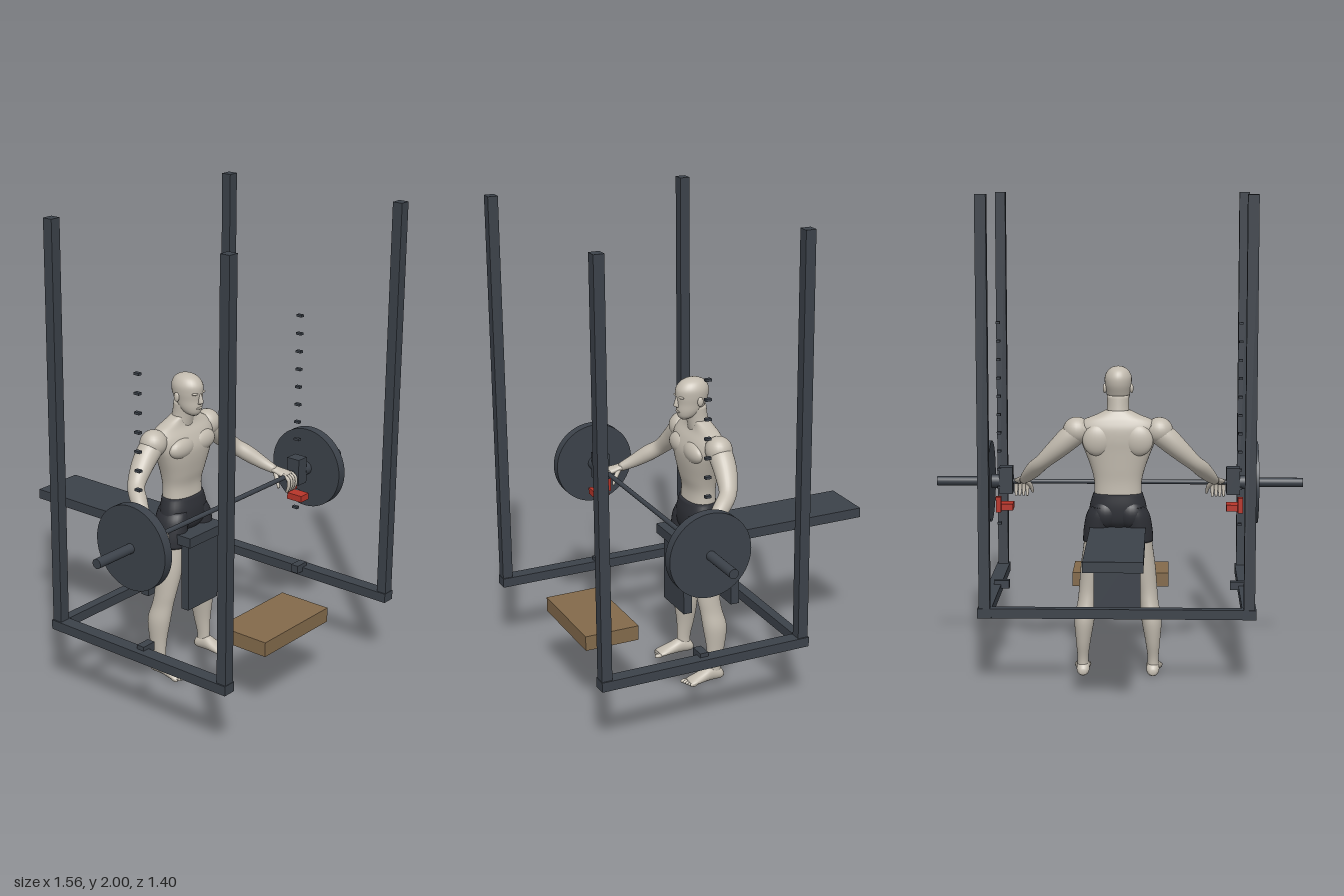
import * as THREE from 'three';

const mat = (name, color) => Object.assign(new THREE.MeshStandardMaterial({ color }), { name });

export function createModel() {
  const steel = mat('dark steel', 0x3c424a);
  const skin = mat('pale skin', 0xc2bbaf);
  const cloth = mat('shorts cloth', 0x2e3036);
  const wood = mat('wood', 0x836a4b);
  const red = mat('red catch', 0xb8352a);

  const root = new THREE.Group();
  root.name = 'liftingRack';
  const group = (name) => {
    const g = new THREE.Group();
    g.name = name;
    root.add(g);
    return g;
  };
  const add = (parent, name, geo, material, x = 0, y = 0, z = 0) => {
    const m = new THREE.Mesh(geo, material);
    m.name = name;
    m.position.set(x, y, z);
    parent.add(m);
    return m;
  };
  // Box given by its limits on each axis
  const box = (parent, name, material, [x0, x1], [y0, y1], [z0, z1]) =>
    add(parent, name, new THREE.BoxGeometry(Math.abs(x1 - x0), y1 - y0, z1 - z0), material,
      (x0 + x1) / 2, (y0 + y1) / 2, (z0 + z1) / 2);
  // Cylinder lying along x
  const rod = (parent, name, r, x0, x1, y, z, sides = 24) => {
    const geo = new THREE.CylinderGeometry(r, r, Math.abs(x1 - x0), sides).rotateZ(Math.PI / 2);
    return add(parent, name, geo, steel, (x0 + x1) / 2, y, z);
  };
  const blob = (parent, name, material, x, y, z, rx, ry, rz) => {
    const m = add(parent, name, new THREE.SphereGeometry(1, 24, 16), material, x, y, z);
    m.scale.set(rx, ry, rz);
    return m;
  };
  // Smooth skin over oval sections [x, y, z, radiusA, radiusB]; axis fixes the ring direction
  const loft = (sections, { axis = null, sides = 28, steps = 5, power = 1 } = {}) => {
    const spline = (f) => new THREE.CatmullRomCurve3(sections.map(f), false, 'catmullrom', 0.5);
    const path = spline((s) => new THREE.Vector3(s[0], s[1], s[2]));
    const size = spline((s) => new THREE.Vector3(s[3], s[4], 0));
    const n = (sections.length - 1) * steps;
    const ref = axis && axis.z ? new THREE.Vector3(0, 1, 0) : new THREE.Vector3(0, 0, 1);
    const bend = (v) => Math.sign(v) * Math.abs(v) ** power;
    const pos = [], idx = [];
    for (let i = 0; i <= n; i++) {
      const c = path.getPoint(i / n), r = size.getPoint(i / n);
      const t = axis || path.getTangent(i / n);
      const u = new THREE.Vector3().crossVectors(t, ref).normalize();
      const w = new THREE.Vector3().crossVectors(u, t).normalize();
      for (let j = 0; j < sides; j++) {
        const q = (j / sides) * Math.PI * 2;
        const p = c.clone().addScaledVector(u, r.x * bend(Math.cos(q))).addScaledVector(w, r.y * bend(Math.sin(q)));
        pos.push(p.x, p.y, p.z);
        const a = i * sides + j, b = i * sides + ((j + 1) % sides);
        if (i < n) idx.push(a, a + sides, b, b, a + sides, b + sides);
      }
    }
    const first = pos.length / 3, last = n * sides;
    [path.getPoint(0), path.getPoint(1)].forEach((p) => pos.push(p.x, p.y, p.z));
    for (let j = 0; j < sides; j++) {
      const k = (j + 1) % sides;
      idx.push(first, j, k, first + 1, last + k, last + j);
    }
    const geo = new THREE.BufferGeometry();
    geo.setAttribute('position', new THREE.Float32BufferAttribute(pos, 3));
    geo.setIndex(idx);
    geo.computeVertexNormals();
    return geo;
  };
  const Y = new THREE.Vector3(0, 1, 0), Z = new THREE.Vector3(0, 0, 1);

  const rack = group('rack');
  const bar = group('barbell');
  const bench = group('bench');
  const body = group('standingMan');

  // Rack frame, catches and height marks
  box(rack, 'rearBeam', steel, [-0.565, 0.565], [0.29, 0.33], [-0.2, -0.16]);
  for (const s of [-1, 1]) {
    const sx = (a, b) => [a * s, b * s];
    box(rack, 'sideBeam', steel, sx(0.51, 0.567), [0.29, 0.33], [-0.203, 0.7]);
    for (const z of [-0.2, 0.655])
      box(rack, 'upright', steel, sx(0.516, 0.561), [0.3, 2], [z, z + 0.043]);
    box(rack, 'beamStop', steel, sx(0.475, 0.54), [0.312, 0.347], [0.235, 0.27]);
    for (let i = 0; i < 12; i++) {
      const y = 1.46 - i * 0.078;
      box(rack, 'heightMark', steel, sx(0.503, 0.52), [y - 0.005, y + 0.005], [0.212, 0.237]);
    }
    box(rack, 'catch', red, sx(0.455, 0.51), [0.657, 0.685], [0.22, 0.293]);
    box(rack, 'catchPin', red, sx(0.503, 0.525), [0.655, 0.72], [0.19, 0.22]);

    // Bar ends: holder, collar, plate and sleeve
    box(bar, 'barHolder', steel, sx(0.455, 0.512), [0.73, 0.845], [0.215, 0.277]);
    rod(bar, 'collar', 0.03, 0.51 * s, 0.547 * s, 0.78, 0.248);
    rod(bar, 'weightPlate', 0.174, 0.546 * s, 0.587 * s, 0.78, 0.248, 48);
    rod(bar, 'sleeve', 0.02, 0.5 * s, 0.78 * s, 0.78, 0.248);
  }
  rod(bar, 'barShaft', 0.01, -0.5, 0.5, 0.78, 0.248);

  // Bench and wooden step
  box(bench, 'benchPad', steel, [-0.115, 0.115], [0.595, 0.637], [-0.704, 0.153]);
  for (const z of [-0.13, 0.09])
    box(bench, 'benchLeg', steel, [-0.096, 0.096], [0.3, 0.6], [z, z + 0.038]);
  box(root, 'woodenStep', wood, [-0.21, 0.21], [0.29, 0.352], [0.386, 0.618]);

  // Torso and neck
  add(body, 'torso', loft([
    [0, 0.75, 0.015, 0.098, 0.062], [0, 0.82, 0.013, 0.098, 0.058], [0, 0.88, 0.017, 0.112, 0.066],
    [0, 0.95, 0.02, 0.138, 0.074], [0, 1.0, 0.018, 0.158, 0.076], [0, 1.045, 0.01, 0.17, 0.066],
    [0, 1.078, 0.004, 0.145, 0.05], [0, 1.1, 0.006, 0.092, 0.042], [0, 1.12, 0.012, 0.05, 0.038],
  ], { axis: Y, power: 0.85, sides: 36 }), skin);
  add(body, 'neck', loft([
    [0, 1.07, 0.008, 0.058, 0.045], [0, 1.12, 0.018, 0.046, 0.044], [0, 1.18, 0.028, 0.045, 0.046],
  ], { axis: Y }), skin);

  // Head and face
  add(body, 'head', loft([
    [0, 1.128, 0.078, 0.016, 0.014], [0, 1.142, 0.066, 0.034, 0.038], [0, 1.165, 0.054, 0.045, 0.055],
    [0, 1.195, 0.046, 0.05, 0.063], [0, 1.225, 0.042, 0.055, 0.07], [0, 1.255, 0.041, 0.055, 0.07],
    [0, 1.28, 0.039, 0.043, 0.055], [0, 1.294, 0.038, 0.024, 0.031], [0, 1.299, 0.038, 0.003, 0.004],
  ], { axis: Y }), skin);
  add(body, 'nose', loft([
    [0, 1.182, 0.108, 0.012, 0.009], [0, 1.19, 0.111, 0.011, 0.013], [0, 1.225, 0.107, 0.006, 0.006],
  ], { axis: Y, sides: 12 }), skin);
  blob(body, 'lips', skin, 0, 1.163, 0.103, 0.018, 0.006, 0.009);

  for (const s of [-1, 1]) {
    const flip = (rows) => rows.map(([x, ...rest]) => [x * s, ...rest]);
    const limb = (name, rows, opt, material = skin) => add(body, name, loft(flip(rows), opt), material);

    blob(body, 'ear', skin, 0.055 * s, 1.207, 0.03, 0.008, 0.02, 0.013);
    blob(body, 'brow', skin, 0.021 * s, 1.226, 0.101, 0.019, 0.006, 0.009);
    blob(body, 'chestMuscle', skin, 0.066 * s, 1.0, 0.066, 0.072, 0.044, 0.034);
    blob(body, 'shoulderBlade', skin, 0.085 * s, 1.0, -0.034, 0.06, 0.065, 0.03);
    blob(body, 'shoulder', skin, 0.17 * s, 1.035, 0.005, 0.057, 0.056, 0.056);

    // Arm, reaching out and forward to the bar
    limb('arm', [
      [0.13, 1.05, 0.004, 0.04, 0.045], [0.19, 1.012, 0.004, 0.049, 0.05], [0.25, 0.958, 0.012, 0.043, 0.046],
      [0.312, 0.9, 0.036, 0.033, 0.036], [0.35, 0.862, 0.083, 0.034, 0.034], [0.382, 0.825, 0.135, 0.027, 0.027],
      [0.405, 0.797, 0.188, 0.018, 0.019],
    ]);
    limb('palm', [
      [0.4, 0.803, 0.178, 0.017, 0.017], [0.41, 0.793, 0.208, 0.026, 0.015],
      [0.417, 0.786, 0.238, 0.031, 0.014], [0.42, 0.78, 0.255, 0.026, 0.01],
    ], { axis: Z, sides: 16 });
    for (let i = 0; i < 4; i++) {
      const x = 0.394 + i * 0.016;
      limb('finger', [
        [x, 0.788, 0.24, 0.008, 0.008], [x + 0.001, 0.775, 0.267, 0.008, 0.008],
        [x + 0.002, 0.745, 0.27, 0.008, 0.008], [x + 0.002, 0.715, 0.26, 0.005, 0.005],
      ], { sides: 10 });
    }
    limb('thumb', [
      [0.395, 0.79, 0.2, 0.011, 0.011], [0.378, 0.765, 0.222, 0.009, 0.009], [0.37, 0.735, 0.237, 0.005, 0.005],
    ], { sides: 10 });

    // Leg, foot and toes
    limb('leg', [
      [0.147, 0.02, 0.012, 0.024, 0.03], [0.147, 0.075, 0.012, 0.023, 0.03], [0.145, 0.15, 0.005, 0.031, 0.04],
      [0.14, 0.24, 0.006, 0.042, 0.052], [0.13, 0.31, 0.018, 0.039, 0.048], [0.122, 0.37, 0.027, 0.041, 0.05],
      [0.105, 0.46, 0.03, 0.051, 0.059], [0.087, 0.56, 0.027, 0.056, 0.066], [0.08, 0.64, 0.025, 0.056, 0.066],
    ], { axis: Y });
    limb('foot', [
      [0.146, 0.018, -0.03, 0.012, 0.012], [0.146, 0.026, -0.012, 0.026, 0.026], [0.147, 0.033, 0.03, 0.027, 0.033],
      [0.15, 0.024, 0.075, 0.032, 0.024], [0.152, 0.015, 0.118, 0.035, 0.015], [0.152, 0.011, 0.135, 0.03, 0.01],
    ], { axis: Z, sides: 18 });
    for (let i = 0; i < 5; i++)
      blob(body, 'toe', skin, (0.128 + i * 0.0125) * s, 0.01, 0.141 - i * 0.005,
        i ? 0.007 : 0.01, 0.009, 0.018);

    // Shorts leg and seat
    limb('shortsLeg', [
      [0.086, 0.572, 0.026, 0.06, 0.069], [0.083, 0.62, 0.024, 0.06, 0.072],
      [0.074, 0.68, 0.02, 0.058, 0.074], [0.062, 0.72, 0.018, 0.05, 0.068],
    ], { axis: Y }, cloth);
    blob(body, 'shortsSeat', cloth, 0.052 * s, 0.69, -0.012, 0.058, 0.062, 0.046);
  }
  add(body, 'shorts', loft([
    [0, 0.635, 0.024, 0.07, 0.055], [0, 0.665, 0.022, 0.118, 0.07],
    [0, 0.72, 0.02, 0.117, 0.073], [0, 0.775, 0.016, 0.102, 0.066],
  ], { axis: Y, power: 0.9, sides: 36 }), cloth);

  return root;
}
